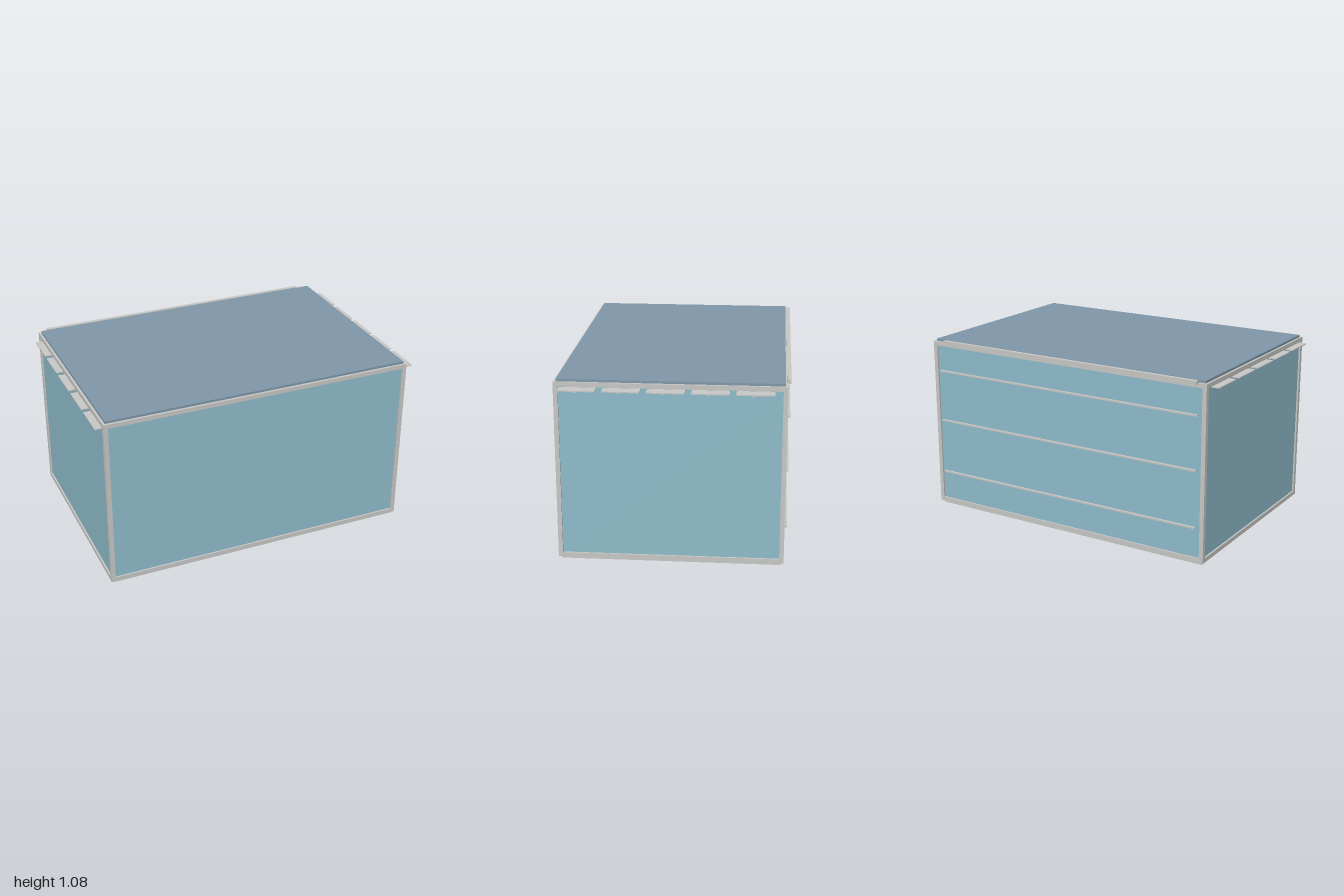
import * as THREE from 'three';

const mat = (name, color, opts = {}) => new THREE.MeshStandardMaterial({ name, color, ...opts });

export function createModel() {
  const root = new THREE.Group();
  root.name = 'container';
  const frameGrey = mat('frameGrey', 0xc8c8c6);
  const wallBlue = mat('wallBlue', 0x8fbccb);
  const roofBlue = mat('roofBlue', 0x8097a8);

  // Box given by its lower and upper bounds on each axis
  const box = (parent, name, material, [x0, x1], [y0, y1], [z0, z1]) => {
    const m = new THREE.Mesh(new THREE.BoxGeometry(x1 - x0, y1 - y0, z1 - z0), material);
    m.position.set((x0 + x1) / 2, (y0 + y1) / 2, (z0 + z1) / 2);
    m.name = name;
    parent.add(m);
  };
  const group = (name) => {
    const g = new THREE.Group();
    g.name = name;
    root.add(g);
    return g;
  };

  // Outer bounds of the frame and its beam thickness
  const X = [-0.96, 0.94], Y = [0.015, 1.067], Z = [-0.641, 0.655], t = 0.026;
  const ends = ([a, b]) => [[a, a + t], [b - t, b]];
  const inner = ([a, b], d = t) => [a + d, b - d];

  // Twelve frame beams
  const frame = group('frame');
  for (const x of ends(X)) for (const z of ends(Z)) box(frame, 'cornerPost', frameGrey, x, Y, z);
  for (const y of ends(Y)) {
    for (const z of ends(Z)) box(frame, 'longBeam', frameGrey, inner(X), y, z);
    for (const x of ends(X)) box(frame, 'crossBeam', frameGrey, x, y, inner(Z));
  }

  // Wall panels, set slightly into the frame
  const walls = group('walls');
  const r = 0.01, p = 0.012;
  box(walls, 'frontWall', wallBlue, inner(X), inner(Y), [Z[1] - r - p, Z[1] - r]);
  box(walls, 'backWall', wallBlue, inner(X), inner(Y), [Z[0] + r, Z[0] + r + p]);
  box(walls, 'leftWall', wallBlue, [X[1] - r - p, X[1] - r], inner(Y), inner(Z));
  box(walls, 'rightWall', wallBlue, [X[0] + r, X[0] + r + p], inner(Y), inner(Z));

  // Roof and floor plates
  box(root, 'roof', roofBlue, inner(X, 0.014), [Y[1], 1.081], inner(Z, 0.015));
  box(root, 'floor', frameGrey, inner(X, 0.014), [0, Y[0]], inner(Z, 0.015));

  // Ventilation flaps with small clips along both sides
  const flaps = group('sideFlaps');
  for (let i = 0; i < 5; i++) {
    const z = -0.465 + i * 0.246;
    const flapZ = [z - 0.105, z + 0.105], clipZ = [z + 0.001, z + 0.023];
    box(flaps, 'leftFlap', frameGrey, [X[1] - r, 1], [1.031, 1.037], flapZ);
    box(flaps, 'rightFlap', frameGrey, [-1, X[0] + r], [1.031, 1.037], flapZ);
    box(flaps, 'leftClip', frameGrey, [X[1] - r, 0.975], [1.017, 1.023], clipZ);
    box(flaps, 'rightClip', frameGrey, [-0.975, X[0] + r], [1.017, 1.023], clipZ);
  }

  // Horizontal rails and the top bar on the back
  const rails = group('backRails');
  for (const y of [0.225, 0.565, 0.885])
    box(rails, 'rail', frameGrey, [-0.91, 0.89], [y - 0.005, y + 0.005], [-0.655, -0.641]);
  box(rails, 'topBar', frameGrey, [-0.905, 0.85], [1.06, 1.081], [-0.657, -0.633]);

  return root;
}
